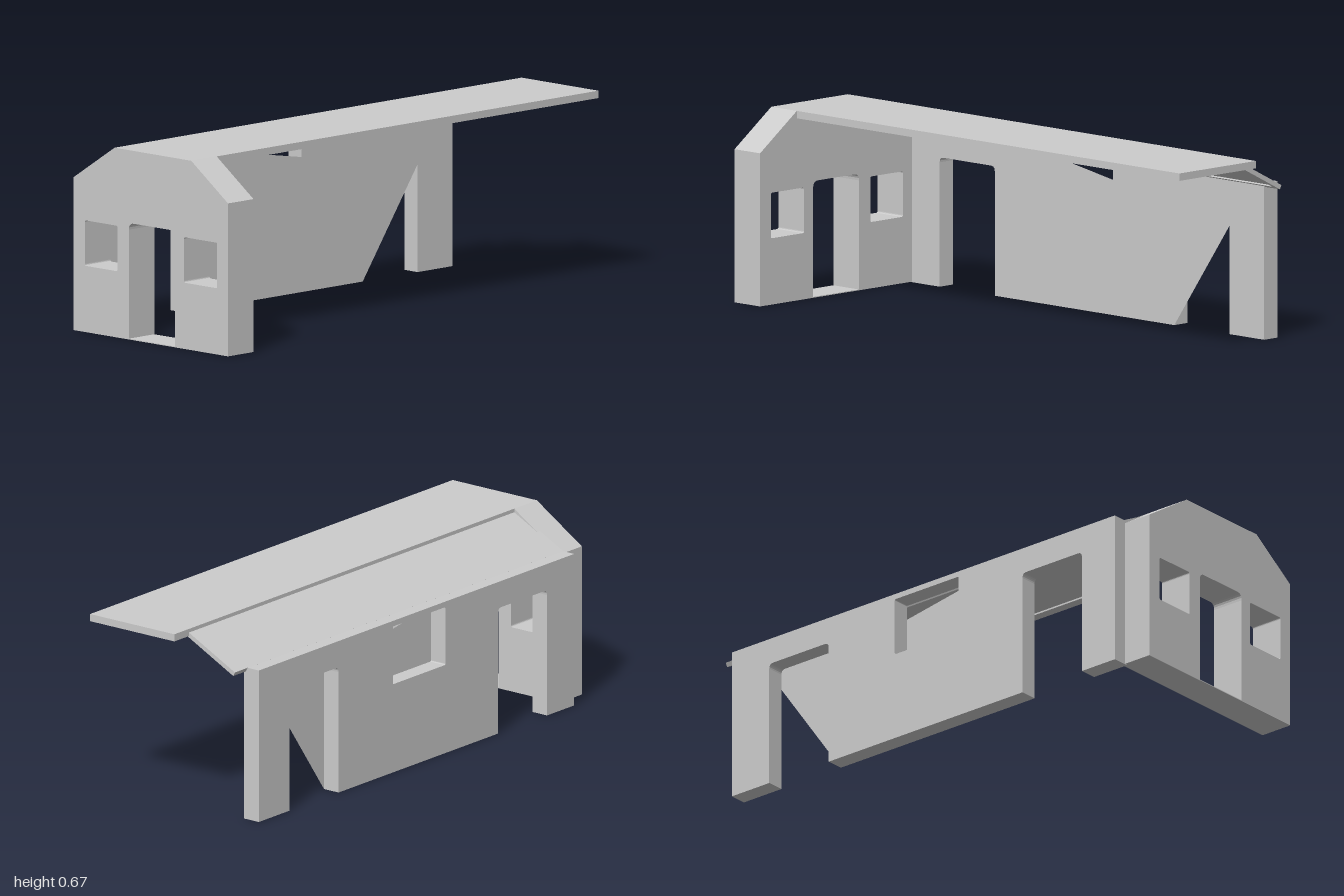
import * as THREE from 'three';

const mat = new THREE.MeshStandardMaterial({ color: 0xcccccc, flatShading: true });
const sheetMat = new THREE.MeshStandardMaterial({ color: 0xcccccc, side: THREE.DoubleSide });

function addMesh(parent, name, geometry, material = mat) {
  const mesh = new THREE.Mesh(geometry, material);
  mesh.name = name;
  parent.add(mesh);
  return mesh;
}

const polygon = (pts) => new THREE.Shape(pts.map(([x, y]) => new THREE.Vector2(x, y)));

// Opening with rounded top corners and, for windows, rounded bottom corners
function opening(x0, x1, y0, y1, rTop, rBottom = 0) {
  const p = new THREE.Path();
  p.moveTo(x0 + rBottom, y0);
  p.lineTo(x1 - rBottom, y0);
  if (rBottom) p.quadraticCurveTo(x1, y0, x1, y0 + rBottom);
  p.lineTo(x1, y1 - rTop);
  p.quadraticCurveTo(x1, y1, x1 - rTop, y1);
  p.lineTo(x0 + rTop, y1);
  p.quadraticCurveTo(x0, y1, x0, y1 - rTop);
  p.lineTo(x0, y0 + rBottom);
  if (rBottom) p.quadraticCurveTo(x0, y0, x0 + rBottom, y0);
  return p;
}

const extrude = (shape, depth) =>
  new THREE.ExtrudeGeometry(shape, { depth, bevelEnabled: false, curveSegments: 5 });

// Roof panel: thin slab with a shallow rim and battens underneath, top at y = 0
function roofPanel(name, width, depth, thick, recess, rim, battens) {
  const g = new THREE.Group();
  g.name = name;
  const slab = thick - recess;
  const bar = (part, w, d, x, z) => addMesh(g, part, new THREE.BoxGeometry(w, recess, d))
    .position.set(x, -slab - recess / 2, z);
  addMesh(g, name + 'Slab', new THREE.BoxGeometry(width, slab, depth)).position.y = -slab / 2;
  for (const s of [-1, 1]) {
    bar(name + 'LongRim', width, rim, 0, s * (depth - rim) / 2);
    bar(name + 'EndRim', rim, depth - 2 * rim, s * (width - rim) / 2, 0);
  }
  for (const x of battens) bar(name + 'Batten', 0.008, depth - 2 * rim, x, 0);
  return g;
}

export function createModel() {
  const model = new THREE.Group();
  model.name = 'houseShell';

  // Gabled end wall with a doorway, a thin sill and two windows (drawn in z, y)
  const end = polygon([
    [0.405, 0.002], [0.405, 0.54], [0.225, 0.668], [-0.15, 0.668], [-0.35, 0.54], [-0.35, 0.002],
  ]);
  end.holes.push(
    opening(-0.08, 0.145, 0.005, 0.412, 0.024),
    opening(0.19, 0.352, 0.235, 0.395, 0.007, 0.007),
    opening(-0.295, -0.135, 0.235, 0.395, 0.007, 0.007),
  );
  const endWall = addMesh(model, 'endWall', extrude(end, 0.125));
  endWall.rotation.y = -Math.PI / 2;
  endWall.position.x = -0.875;

  // Long back wall with two doorways open to the ground and a window
  const back = new THREE.Shape();
  const r = 0.018, doorTop = 0.455;
  back.moveTo(-0.89, 0);
  for (const [a, b] of [[-0.74, -0.47], [0.41, 0.68]]) {
    back.lineTo(a, 0);
    back.lineTo(a, doorTop - r);
    back.quadraticCurveTo(a, doorTop, a + r, doorTop);
    back.lineTo(b - r, doorTop);
    back.quadraticCurveTo(b, doorTop, b, doorTop - r);
    back.lineTo(b, 0);
  }
  back.lineTo(0.85, 0);
  back.lineTo(0.85, 0.55);
  back.lineTo(-0.89, 0.55);
  back.closePath();
  back.holes.push(opening(-0.18, 0.11, 0.32, 0.53, 0.005, 0.005));
  addMesh(model, 'backWall', extrude(back, 0.065)).position.z = -0.405;

  // Thin inner sheets that partly close the doorway and the window
  const sheets = {
    doorwaySheet: [[0.41, 0], [0.68, 0.38], [0.68, 0.455], [0.41, 0.455]],
    windowSheet: [[-0.18, 0.32], [0.11, 0.32], [0.11, 0.475], [-0.18, 0.525]],
  };
  for (const [name, pts] of Object.entries(sheets)) {
    addMesh(model, name, new THREE.ShapeGeometry(polygon(pts)), sheetMat).position.z = -0.34;
  }

  // Flat ridge panel
  const ridge = roofPanel('ridgePanel', 1.875, 0.375, 0.026, 0.006, 0.035, []);
  ridge.position.set(0.0625, 0.668, 0.0375);
  model.add(ridge);

  // Sloping rear panel
  const slope = roofPanel('rearRoofPanel', 1.81, 0.23, 0.016, 0.005, 0.02, [-0.445, 0.285]);
  slope.position.set(0.015, 0.6025, -0.2525);
  slope.rotation.x = -Math.atan2(0.105, 0.205);
  model.add(slope);

  return model;
}
